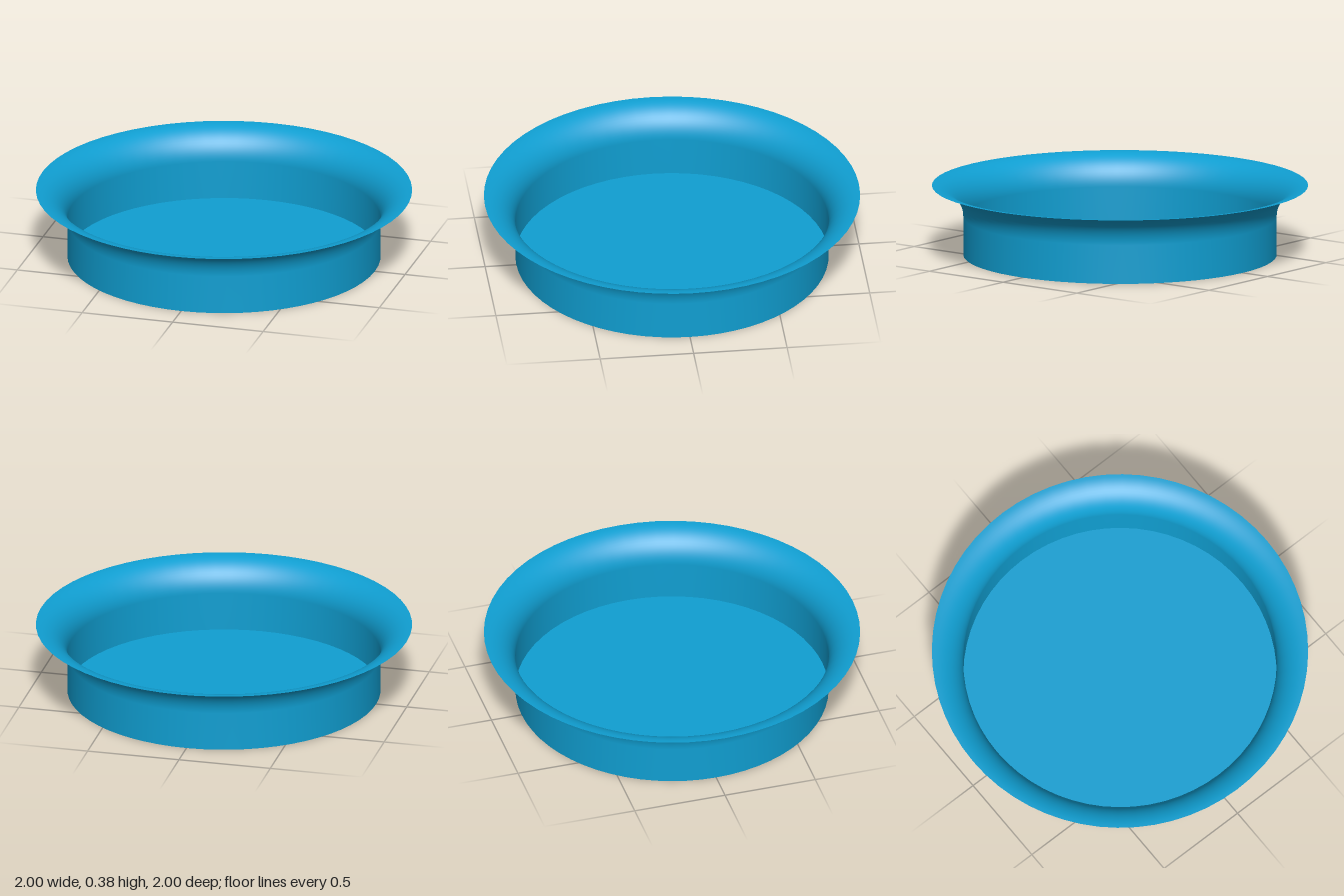
import * as THREE from 'three';

const SEGMENTS = 64;
const RADIUS = 0.833; // upright wall
const FLARE = 0.167;  // radius of the outward-curling lip
const HEIGHT = 0.375;

export function createModel() {
  const model = new THREE.Group();
  model.name = 'flaredDish';
  const material = new THREE.MeshStandardMaterial({ color: 0x109fd2, side: THREE.DoubleSide });

  // Thin upright wall that curls outward in a quarter circle to a flat rim
  const profile = [new THREE.Vector2(RADIUS, 0)];
  const steps = 16;
  for (let i = 0; i <= steps; i++) {
    const a = (i / steps) * Math.PI / 2;
    profile.push(new THREE.Vector2(
      RADIUS + FLARE * (1 - Math.cos(a)),
      HEIGHT - FLARE + FLARE * Math.sin(a)
    ));
  }
  const wall = new THREE.Mesh(new THREE.LatheGeometry(profile, SEGMENTS), material);
  wall.name = 'flaredWall';
  model.add(wall);

  // Flat floor closing the bottom
  const floor = new THREE.Mesh(new THREE.CircleGeometry(RADIUS, SEGMENTS), material);
  floor.name = 'floor';
  floor.rotation.x = -Math.PI / 2;
  model.add(floor);

  return model;
}
